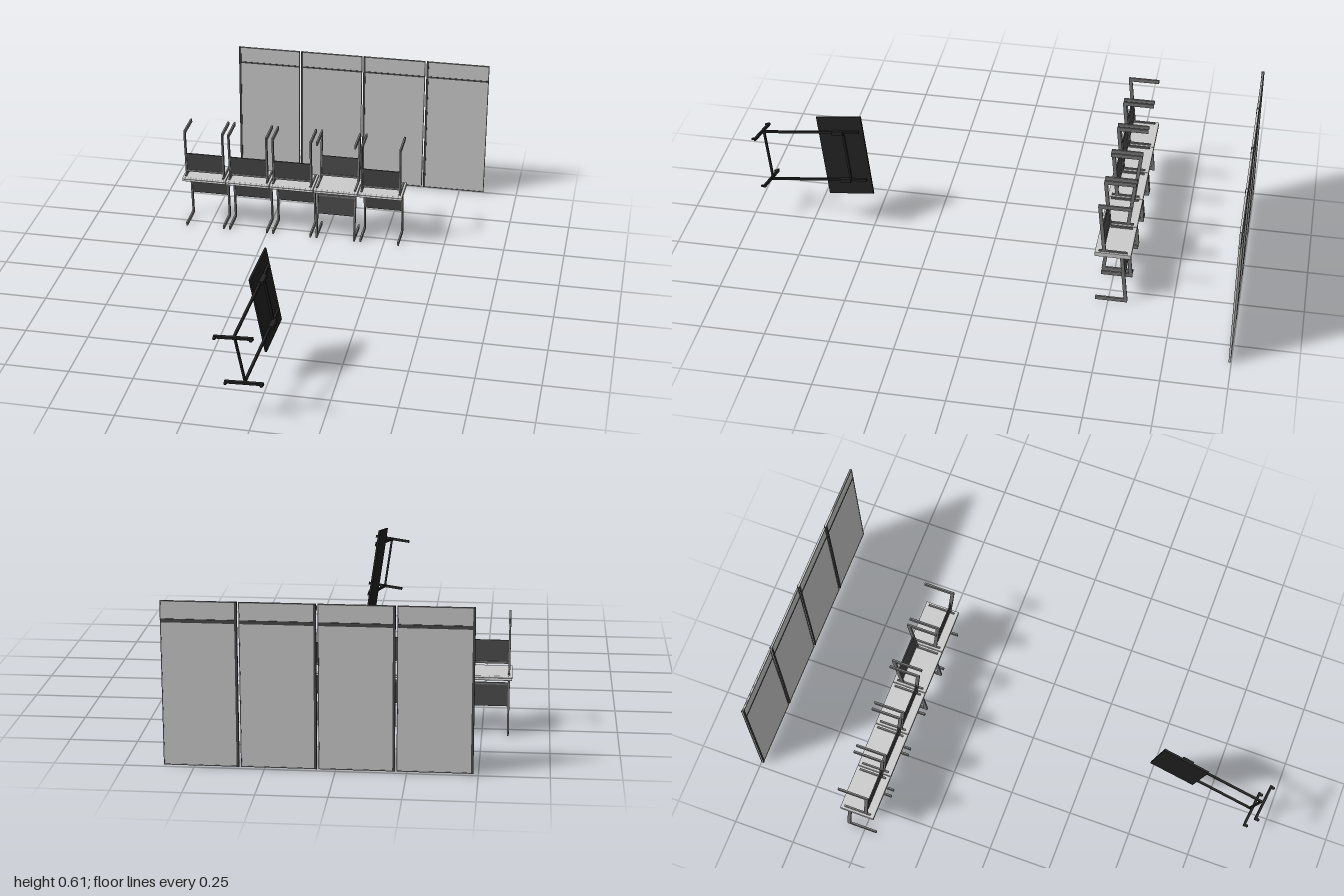
import * as THREE from 'three';

const mat = (color) => new THREE.MeshStandardMaterial({ color });
const grey = mat(0xcccccc);
const steel = mat(0x777777);
const charcoal = mat(0x484848);
const black = mat(0x202020);

function box(parent, name, material, size, pos) {
  const mesh = new THREE.Mesh(new THREE.BoxGeometry(...size), material);
  mesh.name = name;
  mesh.position.set(...pos);
  parent.add(mesh);
  return mesh;
}

// One wall screen: sheet, upright on its left edge, thin border and cross rail
function wallScreen(x) {
  const g = new THREE.Group();
  g.name = 'wallScreen';
  const w = 0.268, bottom = 0.006, h = 0.6;
  const mid = bottom + h / 2;
  box(g, 'screenSheet', grey, [w, h, 0.005], [0, mid, 0]);
  box(g, 'screenUpright', charcoal, [0.009, h, 0.011], [-w / 2 + 0.0045, mid, 0]);
  box(g, 'screenEdge', steel, [0.003, h, 0.008], [w / 2 - 0.0015, mid, 0]);
  for (const y of [bottom + 0.0015, bottom + h - 0.0015])
    box(g, 'screenBorder', steel, [w, 0.003, 0.008], [0, y, 0]);
  box(g, 'crossRail', charcoal, [w, 0.007, 0.008], [0, 0.535, 0]);
  box(g, 'backRail', charcoal, [w, 0.013, 0.003], [0, 0.535, -0.0035]);
  g.position.set(x, 0, -0.994);
  return g;
}

const deskHeight = 0.2235;

// Desk top with rounded long edges, extruded across its width
function deskTopGeometry(width, depth, thick) {
  const r = thick / 2, d = depth / 2 - r;
  const s = new THREE.Shape();
  s.moveTo(-d, -r);
  s.lineTo(d, -r);
  s.absarc(d, 0, r, -Math.PI / 2, Math.PI / 2, false);
  s.lineTo(-d, r);
  s.absarc(-d, 0, r, Math.PI / 2, Math.PI * 1.5, false);
  const geo = new THREE.ExtrudeGeometry(s, { depth: width, bevelEnabled: false, curveSegments: 6 });
  geo.translate(0, 0, -width / 2);
  return geo.rotateY(Math.PI / 2);
}
const topGeo = deskTopGeometry(0.184, 0.14, 0.009);

// Cantilever desk: legs and modesty panel on the -z side
function desk() {
  const g = new THREE.Group();
  g.name = 'desk';
  const top = new THREE.Mesh(topGeo, grey);
  top.name = 'deskTop';
  top.position.y = deskHeight - 0.0045;
  g.add(top);

  // Leaning plane shared by posts and panel
  const y0 = 0.008, y1 = 0.214, z0 = -0.056, z1 = -0.034;
  const lean = Math.atan2(z1 - z0, y1 - y0);
  const zAt = (y) => z0 + ((z1 - z0) * (y - y0)) / (y1 - y0);
  for (const x of [-0.08, 0.08]) {
    box(g, 'deskFoot', steel, [0.007, 0.016, 0.124], [x, 0.008, 0]);
    const post = box(g, 'deskPost', steel,
      [0.007, Math.hypot(y1 - y0, z1 - z0), 0.014], [x, (y0 + y1) / 2, (z0 + z1) / 2]);
    post.rotation.x = lean;
    box(g, 'deskArm', steel, [0.007, 0.006, 0.11], [x, 0.2115, 0]);
  }
  const panel = box(g, 'modestyPanel', charcoal, [0.158, 0.08, 0.005], [0, 0.15, zAt(0.15)]);
  panel.rotation.x = lean;
  box(g, 'deskRail', steel, [0.158, 0.008, 0.008], [0, 0.194, zAt(0.194)]);
  return g;
}

// A desk with a second one stacked upside down on it
function deskStack(x, turned) {
  const g = new THREE.Group();
  g.name = 'deskStack';
  const lower = desk();
  const upper = desk();
  upper.name = 'upturnedDesk';
  upper.rotation.x = Math.PI;
  upper.position.y = 2 * deskHeight;
  g.add(lower, upper);
  g.position.set(x, 0, -0.512);
  if (turned) g.rotation.y = Math.PI;
  return g;
}

// Flip-top table; local x runs towards the feet, y along the top, z off its face
function foldedTable() {
  const g = new THREE.Group();
  g.name = 'foldedTable';
  box(g, 'tableTop', black, [0.19, 0.338, 0.008], [0, 0, 0]);
  const wheel = new THREE.CylinderGeometry(0.006, 0.006, 0.006, 12);
  for (const y of [-0.105, 0.105]) {
    box(g, 'tablePost', black, [0.42, 0.009, 0.009], [0.132, y, 0.008]);
    box(g, 'tableFoot', black, [0.009, 0.011, 0.15], [0.341, y, 0.007]);
    box(g, 'hingeBlock', black, [0.045, 0.014, 0.02], [0.01, y, 0.012]);
    for (const z of [-0.062, 0.076]) {
      const c = new THREE.Mesh(wheel, black);
      c.name = 'caster';
      c.position.set(0.351, y, z);
      g.add(c);
    }
  }
  box(g, 'lowerRail', black, [0.008, 0.21, 0.008], [0.332, 0, 0.008]);
  box(g, 'hingeRail', black, [0.008, 0.21, 0.008], [-0.01, 0, 0.008]);

  // Tilted pose
  const u = new THREE.Vector3(-0.095, -0.17, 0.98).normalize();
  const n = u.clone().cross(new THREE.Vector3(0.135, -0.976, -0.168)).normalize();
  const v = n.clone().cross(u);
  g.quaternion.setFromRotationMatrix(new THREE.Matrix4().makeBasis(u, v, n));
  g.position.set(-0.021, 0.316, 0.613);
  return g;
}

export function createModel() {
  const model = new THREE.Group();
  model.name = 'furnitureSet';
  for (let i = 0; i < 4; i++) model.add(wallScreen(-0.349 + i * 0.274));
  for (let i = 0; i < 5; i++) model.add(deskStack(-0.516 + i * 0.187, i === 3));
  model.add(foldedTable());
  return model;
}
